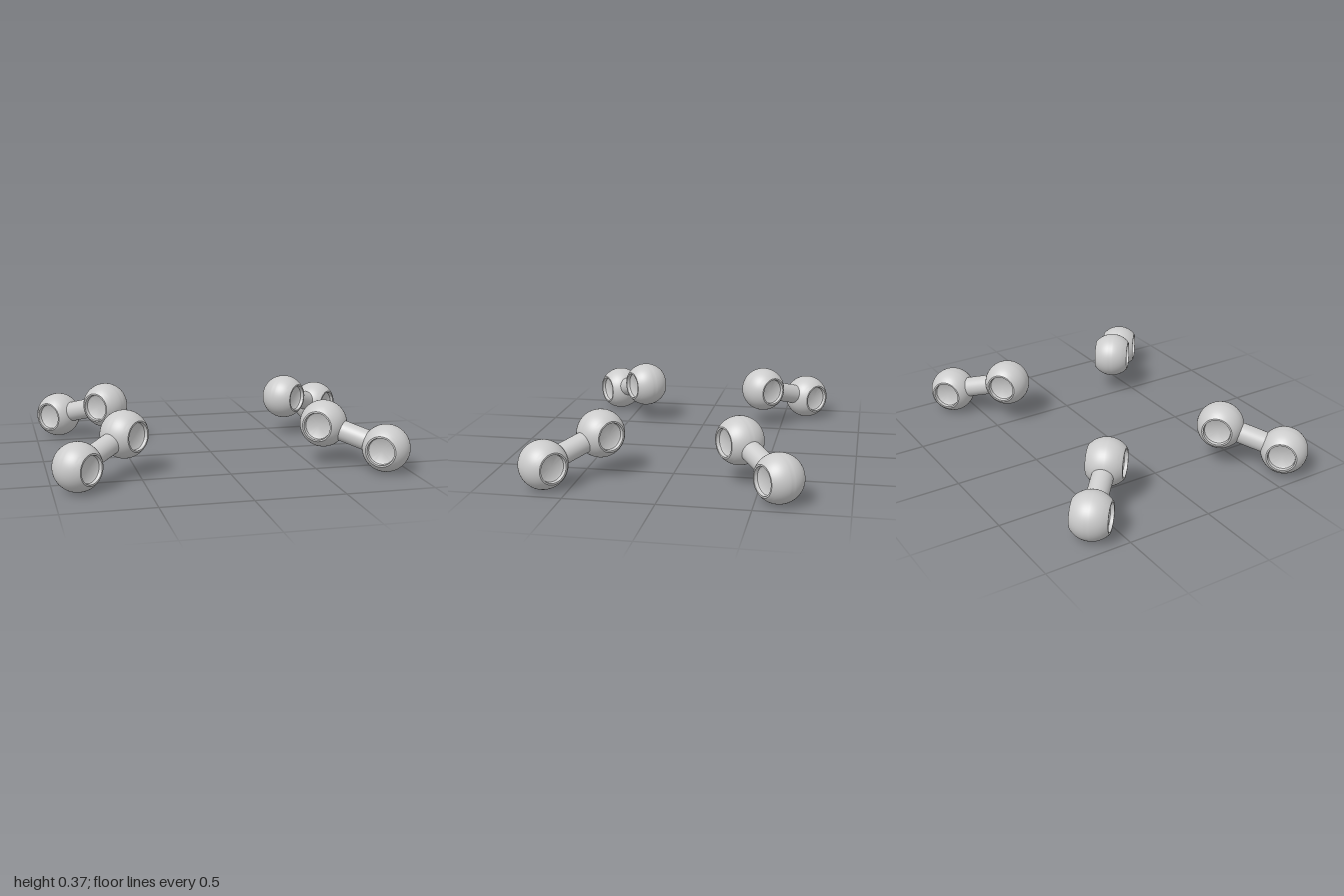
import * as THREE from 'three';
import { toCreasedNormals } from 'three/addons/utils/BufferGeometryUtils.js';

const R = 0.135;      // ball radius
const FLAT = 0.103;   // distance of each flat from the ball centre
const RIM = 0.078;    // recess radius
const FLOOR = 0.075;  // distance of the recess floor from the ball centre
const ROD = 0.06;

// Ball turned on its socket axis: flat and round recess at both poles
function ballGeometry() {
  const half = [[0, FLOOR], [RIM - 0.012, FLOOR + 0.002], [RIM - 0.003, FLOOR + 0.008], [RIM, FLOOR + 0.016], [RIM, FLAT]];
  const pts = half.map(([r, y]) => new THREE.Vector2(r, -y));
  const a = Math.asin(FLAT / R), n = 24;
  for (let i = 0; i <= n; i++) {
    const t = -a + (2 * a * i) / n;
    pts.push(new THREE.Vector2(R * Math.cos(t), R * Math.sin(t)));
  }
  for (const [r, y] of half.slice().reverse()) pts.push(new THREE.Vector2(r, y));
  return toCreasedNormals(new THREE.LatheGeometry(pts, 56), 0.6);
}

export function createModel() {
  const model = new THREE.Group();
  const material = new THREE.MeshStandardMaterial({ color: 0xcccccc });
  const ballGeo = ballGeometry();
  const up = new THREE.Vector3(0, 1, 0);

  function addLink(name, inner, outer) {
    const link = new THREE.Group();
    link.name = name;
    const a = new THREE.Vector3(...inner), b = new THREE.Vector3(...outer);
    const dir = b.clone().sub(a);

    // Connecting rod between the ball centres
    const rod = new THREE.Mesh(new THREE.CylinderGeometry(ROD, ROD, dir.length() - 0.2, 40, 1, true), material);
    rod.name = 'rod';
    rod.position.copy(a).add(b).multiplyScalar(0.5);
    rod.quaternion.setFromUnitVectors(up, dir.clone().normalize());
    link.add(rod);

    // Socketed end balls, socket axis level and square to the rod
    const axis = new THREE.Vector3().crossVectors(up, dir).normalize();
    for (const [part, p] of [['innerBall', a], ['outerBall', b]]) {
      const ball = new THREE.Mesh(ballGeo, material);
      ball.name = part;
      ball.position.copy(p);
      ball.quaternion.setFromUnitVectors(up, axis);
      link.add(ball);
    }
    model.add(link);
  }

  addLink('frontLeftLink', [0.575, 0.24, 0.395], [0.865, 0.137, 0.637]);
  addLink('frontRightLink', [-0.58, 0.24, 0.395], [-0.865, 0.137, 0.637]);
  addLink('backLeftLink', [0.575, 0.24, -0.38], [0.865, 0.137, -0.622]);
  addLink('backRightLink', [-0.583, 0.24, -0.38], [-0.852, 0.137, -0.642]);
  return model;
}
